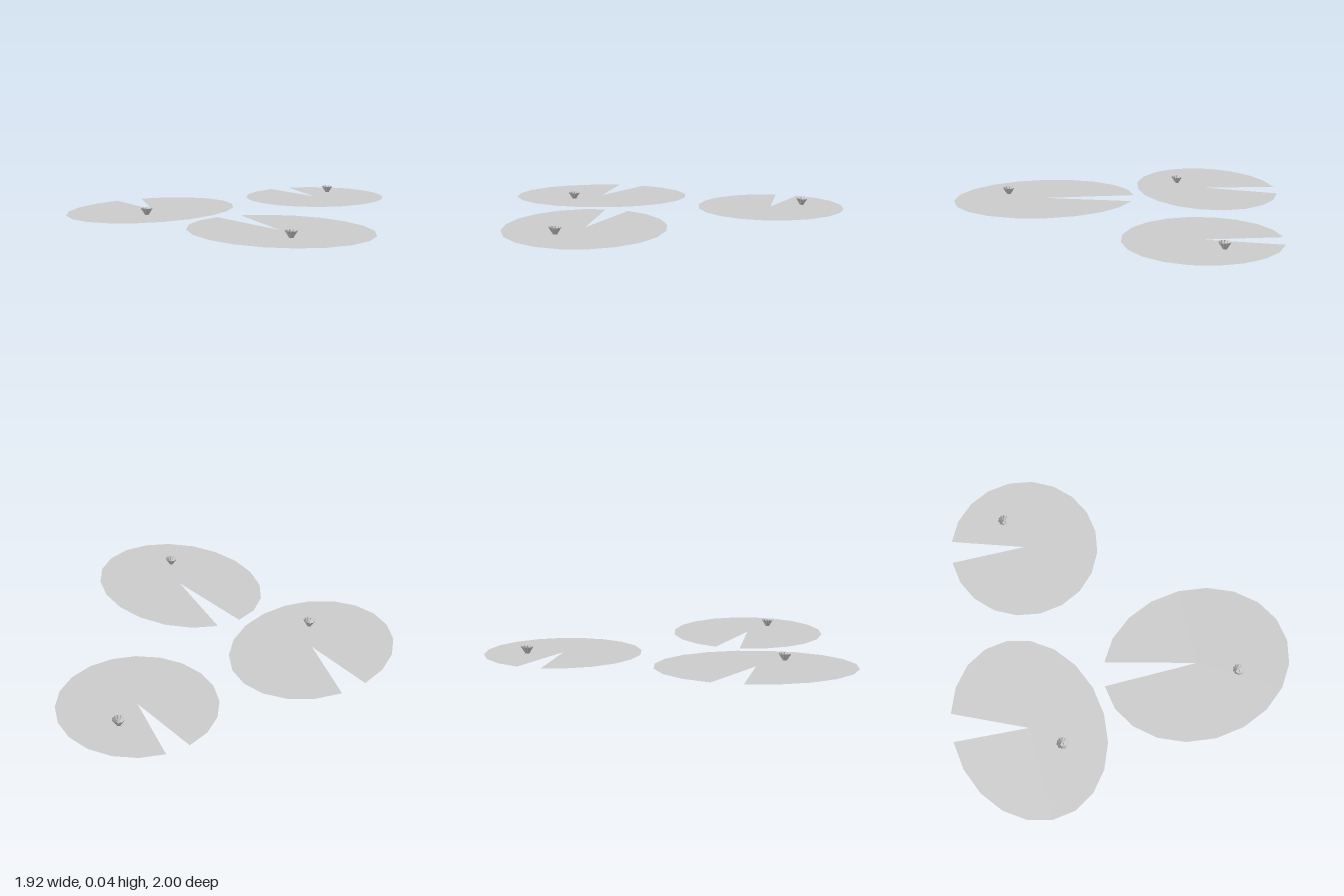
import * as THREE from 'three';

const material = new THREE.MeshStandardMaterial({
  color: 0xcccccc, flatShading: true, side: THREE.DoubleSide,
});

// Flat 20-sided disc with one slice missing; ax and az are its half-axes as [x, z].
function makePad(center, ax, az) {
  const geometry = new THREE.CircleGeometry(1, 19, -Math.PI, Math.PI * 1.9);
  geometry.rotateX(-Math.PI / 2);
  geometry.applyMatrix4(new THREE.Matrix4().makeBasis(
    new THREE.Vector3(ax[0], 0, ax[1]),
    new THREE.Vector3(0, 1, 0),
    new THREE.Vector3(az[0], 0, az[1]),
  ));
  const pad = new THREE.Mesh(geometry, material);
  pad.name = 'lilyPad';
  pad.position.set(center[0], 0, center[1]);
  return pad;
}

// Small flaring cup whose rim is scalloped into petals, with a bud in the middle.
function makeFlower(x, z) {
  const flower = new THREE.Group();
  flower.name = 'flower';
  const petals = 10;
  const profile = [[0, 0.004], [0.012, 0.004], [0.016, 0.012], [0.034, 0.04]]
    .map(([r, y]) => new THREE.Vector2(r, y));
  const geometry = new THREE.LatheGeometry(profile, petals * 4);
  const p = geometry.attributes.position;
  for (let i = 0; i < p.count; i++) {
    const angle = Math.atan2(p.getZ(i), p.getX(i));
    const flare = Math.max(0, (p.getY(i) - 0.012) / 0.028);
    const s = 1 - 0.16 * flare * (1 - Math.abs(Math.cos(angle * petals / 2)));
    p.setX(i, p.getX(i) * s);
    p.setZ(i, p.getZ(i) * s);
  }
  geometry.computeVertexNormals();
  const cup = new THREE.Mesh(geometry, material);
  cup.name = 'petals';
  const bud = new THREE.Mesh(new THREE.SphereGeometry(0.008, 8, 6), material);
  bud.name = 'flowerCentre';
  bud.position.y = 0.011;
  flower.add(cup, bud);
  flower.position.set(x, 0, z);
  return flower;
}

export function createModel() {
  const group = new THREE.Group();
  group.name = 'lilyPads';
  group.add(
    makePad([-0.35, -0.578], [0.422, 0], [0, 0.422]),
    makePad([-0.551, 0.478], [0.414, 0.019], [0.015, 0.517]),
    makePad([0.432, 0.335], [0.527, -0.011], [-0.011, 0.438]),
    makeFlower(-0.43, -0.755),
    makeFlower(-0.393, 0.612),
    makeFlower(0.642, 0.437),
  );
  return group;
}
